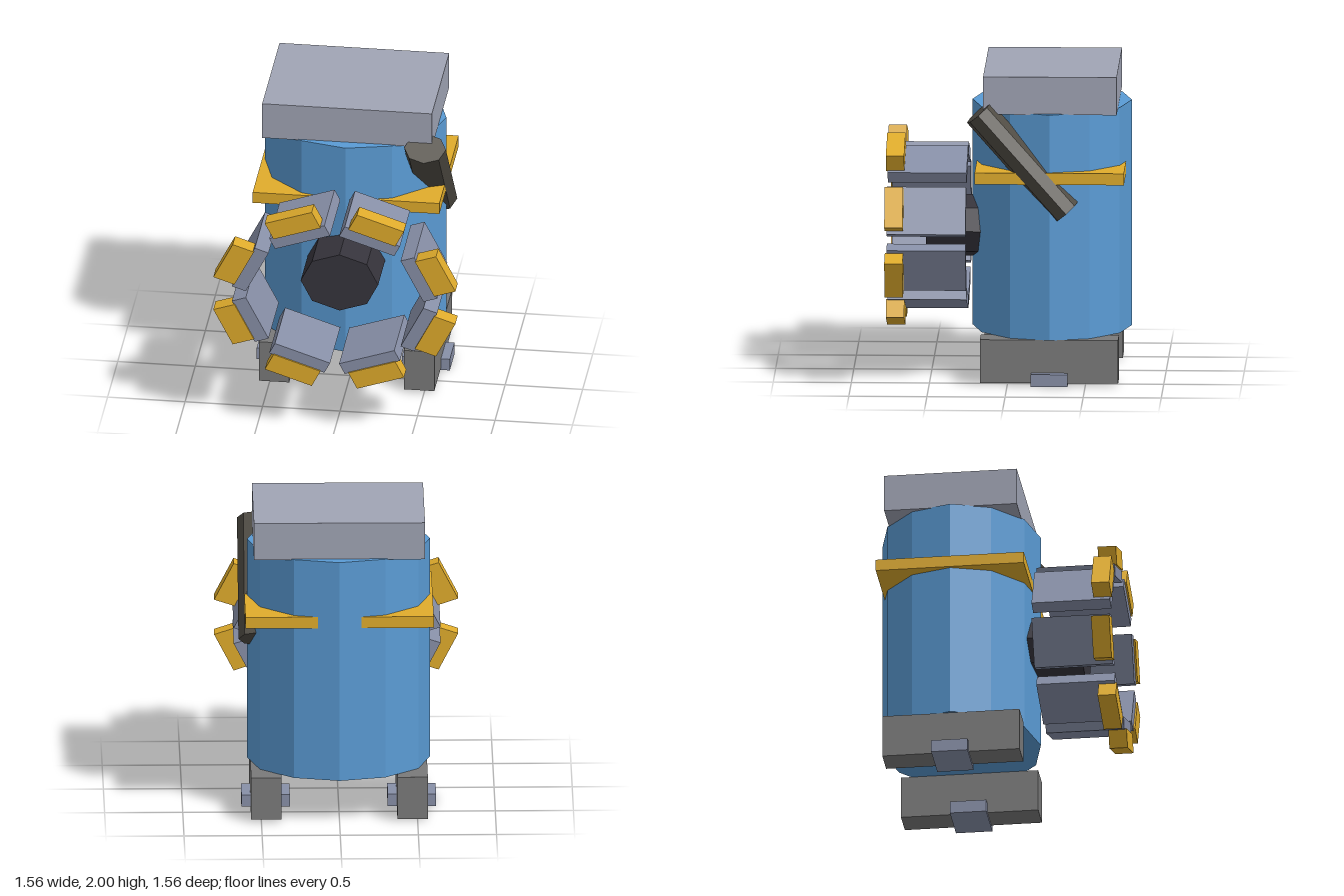
import * as THREE from 'three';

const paint = (color) => new THREE.MeshStandardMaterial({ color, flatShading: true });
const blue = paint(0x5a9bd4);
const yellow = paint(0xe0ac2c);
const paleGrey = paint(0xa0a4b4);
const slate = paint(0x8890a8);
const footGrey = paint(0x7a7a7a);
const dark = paint(0x36343c);
const brown = paint(0x504c44);

function add(parent, name, geometry, material, x, y, z) {
  const mesh = new THREE.Mesh(geometry, material);
  mesh.name = name;
  mesh.position.set(x, y, z);
  parent.add(mesh);
  return mesh;
}

const box = (w, h, d) => new THREE.BoxGeometry(w, h, d);

export function createModel() {
  const model = new THREE.Group();
  model.name = 'model';

  // Twelve-sided oval body with a square band and a slab lid
  const body = new THREE.CylinderGeometry(1, 1, 1.465, 12).scale(0.585, 1, 0.51);
  add(model, 'body', body, blue, 0, 1.0275, -0.27);
  add(model, 'band', box(1.205, 0.075, 0.955), yellow, 0, 1.3475, -0.27);
  add(model, 'lid', box(1.095, 0.245, 0.855), paleGrey, 0, 1.8775, -0.2725);

  // Feet, each with a low cross peg
  for (const side of [-1, 1]) {
    add(model, 'foot', box(0.195, 0.28, 0.885), footGrey, side * 0.468, 0.155, -0.2675);
    add(model, 'footPeg', box(0.31, 0.08, 0.235), slate, side * 0.468, 0.04, -0.27);
  }

  // Tilted octagonal lever on the left side
  const lever = new THREE.CylinderGeometry(1, 1, 0.85, 8).scale(0.135, 1, 0.102);
  add(model, 'lever', lever, brown, 0.507, 1.443, -0.098).rotation.x = Math.atan2(0.56, 0.635);

  // Front wheel, stretched sideways
  const wheel = new THREE.Group();
  wheel.name = 'wheel';
  wheel.position.y = 0.94;
  wheel.scale.x = 1.25;
  model.add(wheel);

  const hub = new THREE.CylinderGeometry(0.2, 0.2, 0.43, 8).rotateX(Math.PI / 2);
  add(wheel, 'hub', hub, dark, 0, 0, 0.315);

  // Eight paddles with outer tips
  for (let i = 0; i < 8; i++) {
    const arm = new THREE.Group();
    arm.name = 'wheelSegment';
    arm.rotation.z = (i + 0.5) * Math.PI / 4;
    wheel.add(arm);
    add(arm, 'paddle', box(0.308, 0.077, 0.505), slate, 0, 0.471, 0.5175);
    add(arm, 'paddleTip', box(0.262, 0.118, 0.117), yellow, 0, 0.563, 0.7225);
  }
  return model;
}
